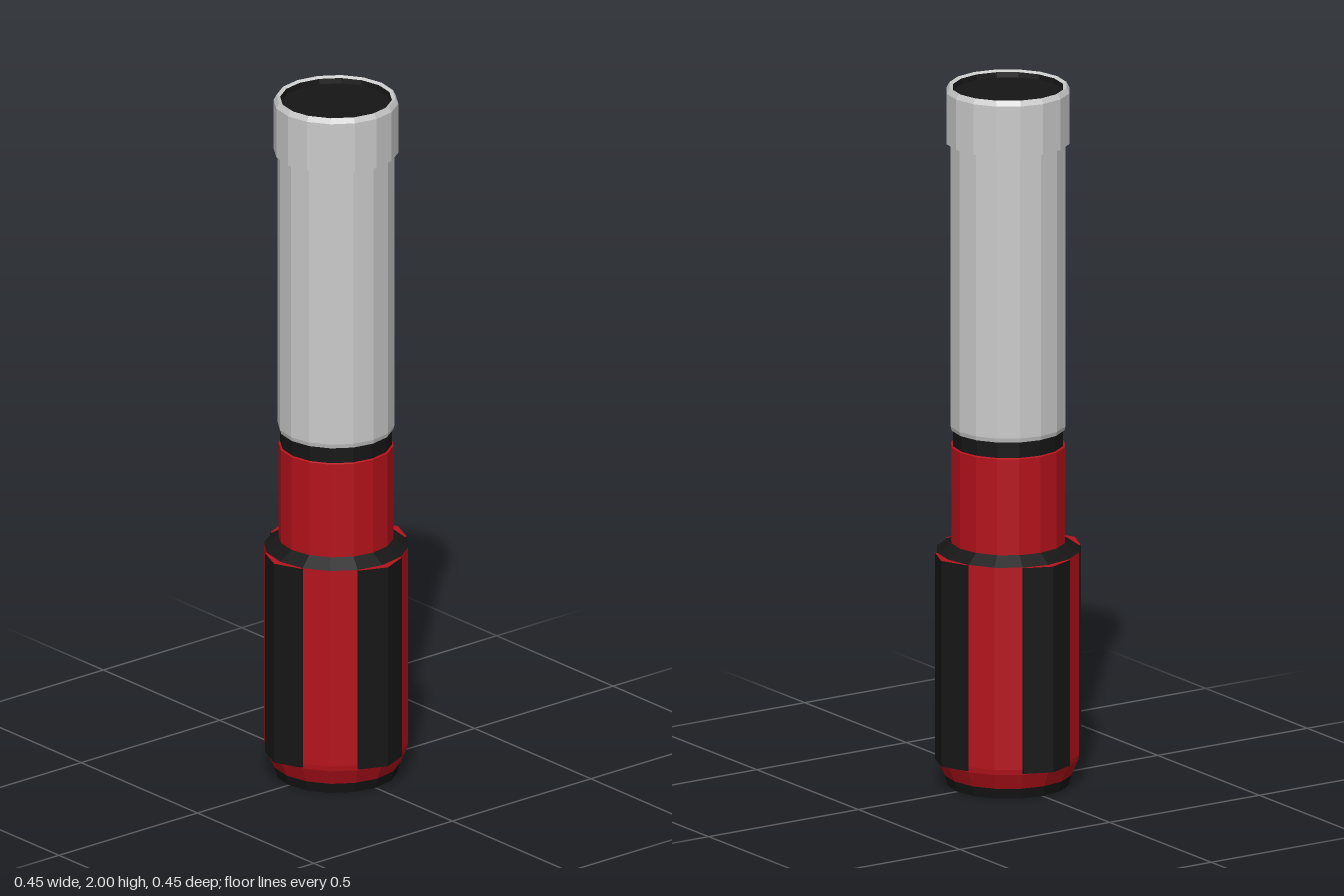
import * as THREE from 'three';

const SIDES = 16;
const material = (color) => new THREE.MeshStandardMaterial({ color, flatShading: true });

export function createModel() {
  const model = new THREE.Group();
  const grey = material(0xcccccc);
  const red = material(0xb5121b);
  const black = material(0x161616);

  // Faceted turned part; profile is [radius, height] pairs, bottom to top
  const turned = (name, mat, profile) => {
    const points = profile.map(([r, y]) => new THREE.Vector2(r, y));
    const mesh = new THREE.Mesh(new THREE.LatheGeometry(points, SIDES), mat);
    mesh.name = name;
    model.add(mesh);
  };

  // Handle, from the base upwards
  turned('baseCap', black, [[0, 0], [0.17, 0], [0.178, 0.03]]);
  turned('handleBody', red, [[0.178, 0.03], [0.198, 0.075], [0.2, 0.09], [0.2, 0.67]]);
  turned('shoulderRing', black, [[0.2, 0.67], [0.16, 0.695]]);
  turned('neck', red, [[0.16, 0.69], [0.16, 0.97], [0.15, 0.975]]);
  turned('jointRing', black, [[0.155, 0.97], [0.155, 1.02]]);

  // Tube and its wider end collar with a bevelled rim
  turned('tube', grey, [[0.15, 1.015], [0.159, 1.018], [0.162, 1.03], [0.162, 1.845]]);
  turned('endCollar', grey, [
    [0.16, 1.84], [0.173, 1.84], [0.173, 1.985], [0.165, 2], [0.155, 1.995],
  ]);
  turned('endInset', black, [[0.155, 1.995], [0.153, 1.98], [0, 1.98]]);

  // Four ridged grip pads, each covering two facets of the handle
  const shape = new THREE.Shape([
    new THREE.Vector2(0.077, -0.18),
    new THREE.Vector2(0.077, -0.191),
    new THREE.Vector2(0, -0.223),
    new THREE.Vector2(-0.077, -0.191),
    new THREE.Vector2(-0.077, -0.18),
  ]);
  const padGeometry = new THREE.ExtrudeGeometry(shape, { depth: 0.59, bevelEnabled: false });
  padGeometry.rotateX(-Math.PI / 2).translate(0, 0.08, 0);
  for (let i = 0; i < 4; i++) {
    const pad = new THREE.Mesh(padGeometry, [red, black]);
    pad.name = `gripPad${i + 1}`;
    pad.rotation.y = (i * Math.PI) / 2;
    model.add(pad);
  }

  return model;
}
